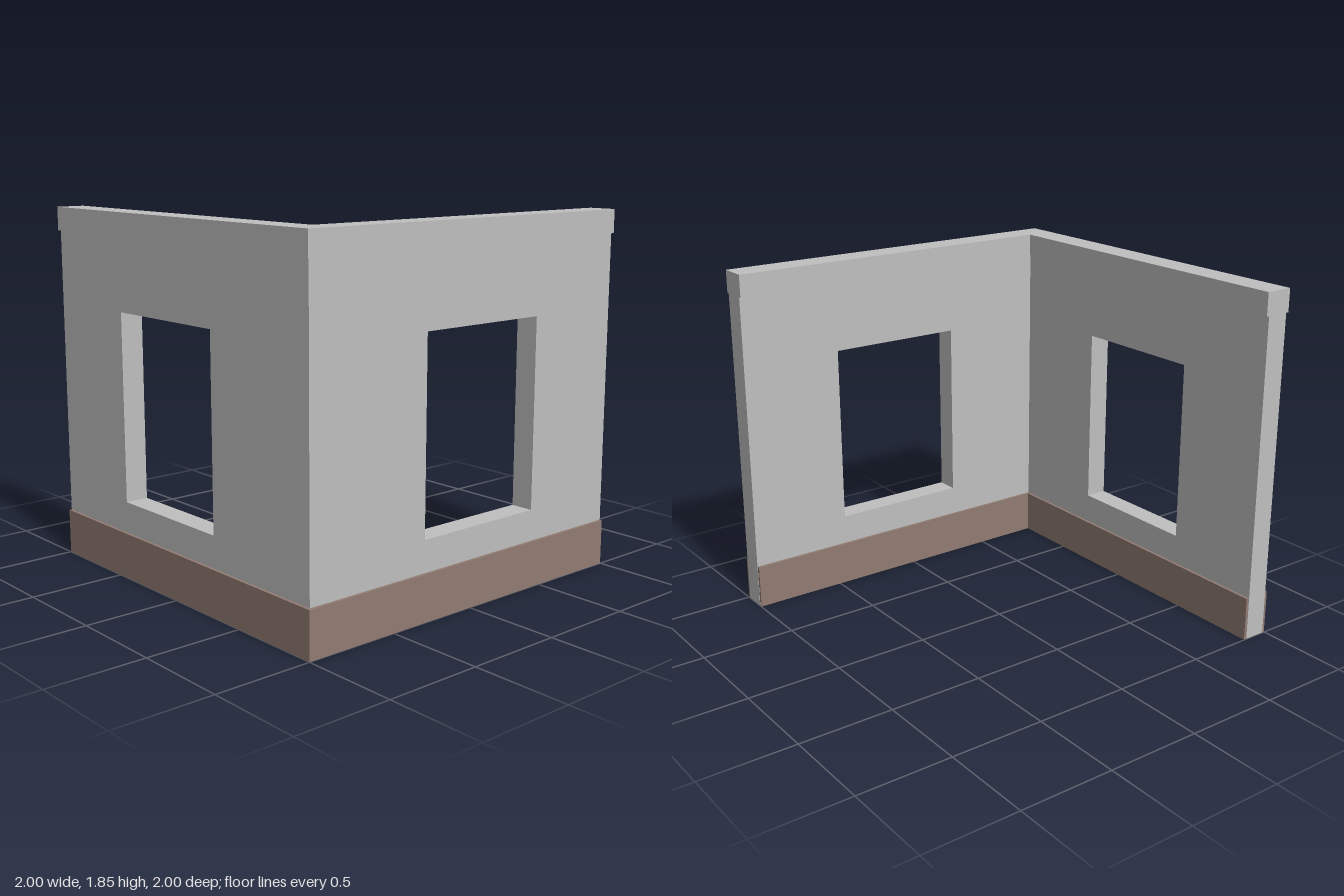
import * as THREE from 'three';

const OUTER = 1, INNER = 0.85;       // plan limits of the base and top band
const MID = 0.925, THICK = 0.12;     // wall centre line and thickness

// L-shaped course running round the corner, from y0 to y1
function course(name, y0, y1, end, material) {
  const shape = new THREE.Shape([
    [-OUTER, -OUTER], [end, -OUTER], [end, -INNER],
    [-INNER, -INNER], [-INNER, end], [-OUTER, end],
  ].map(([x, y]) => new THREE.Vector2(x, y)));
  const geometry = new THREE.ExtrudeGeometry(shape, { depth: y1 - y0, bevelEnabled: false });
  geometry.rotateX(-Math.PI / 2).translate(0, y0, 0);
  const mesh = new THREE.Mesh(geometry, material);
  mesh.name = name;
  return mesh;
}

function rectangle(Type, x0, y0, x1, y1) {
  return new Type([[x0, y0], [x1, y0], [x1, y1], [x0, y1]].map(([x, y]) => new THREE.Vector2(x, y)));
}

// Upright wall panel with a window opening, starting at the corner end
function wall(name, start, material) {
  const shape = rectangle(THREE.Shape, start, 0.002, 1, 1.735);
  shape.holes.push(rectangle(THREE.Path, -0.295, 0.395, 0.445, 1.36));
  const geometry = new THREE.ExtrudeGeometry(shape, { depth: THICK, bevelEnabled: false });
  geometry.translate(0, 0, -THICK / 2);
  const mesh = new THREE.Mesh(geometry, material);
  mesh.name = name;
  return mesh;
}

export function createModel() {
  const plaster = new THREE.MeshStandardMaterial({ color: 0xc0c0c0 });
  plaster.name = 'grey plaster';
  const brown = new THREE.MeshStandardMaterial({ color: 0x927d73 });
  brown.name = 'brown base';

  const model = new THREE.Group();
  model.name = 'cornerWalls';

  // Two walls meeting at the front corner
  const front = wall('frontWall', -MID - THICK / 2, plaster);
  front.position.z = MID;
  const side = wall('sideWall', -MID + THICK / 2, plaster);
  side.rotation.y = Math.PI / 2;
  side.position.x = -MID;
  model.add(front, side);

  // Base stops a hair short so the wall ends show through it
  model.add(course('baseCourse', 0, 0.235, 0.998, brown));
  model.add(course('topBand', 1.73, 1.85, 1, plaster));
  return model;
}
